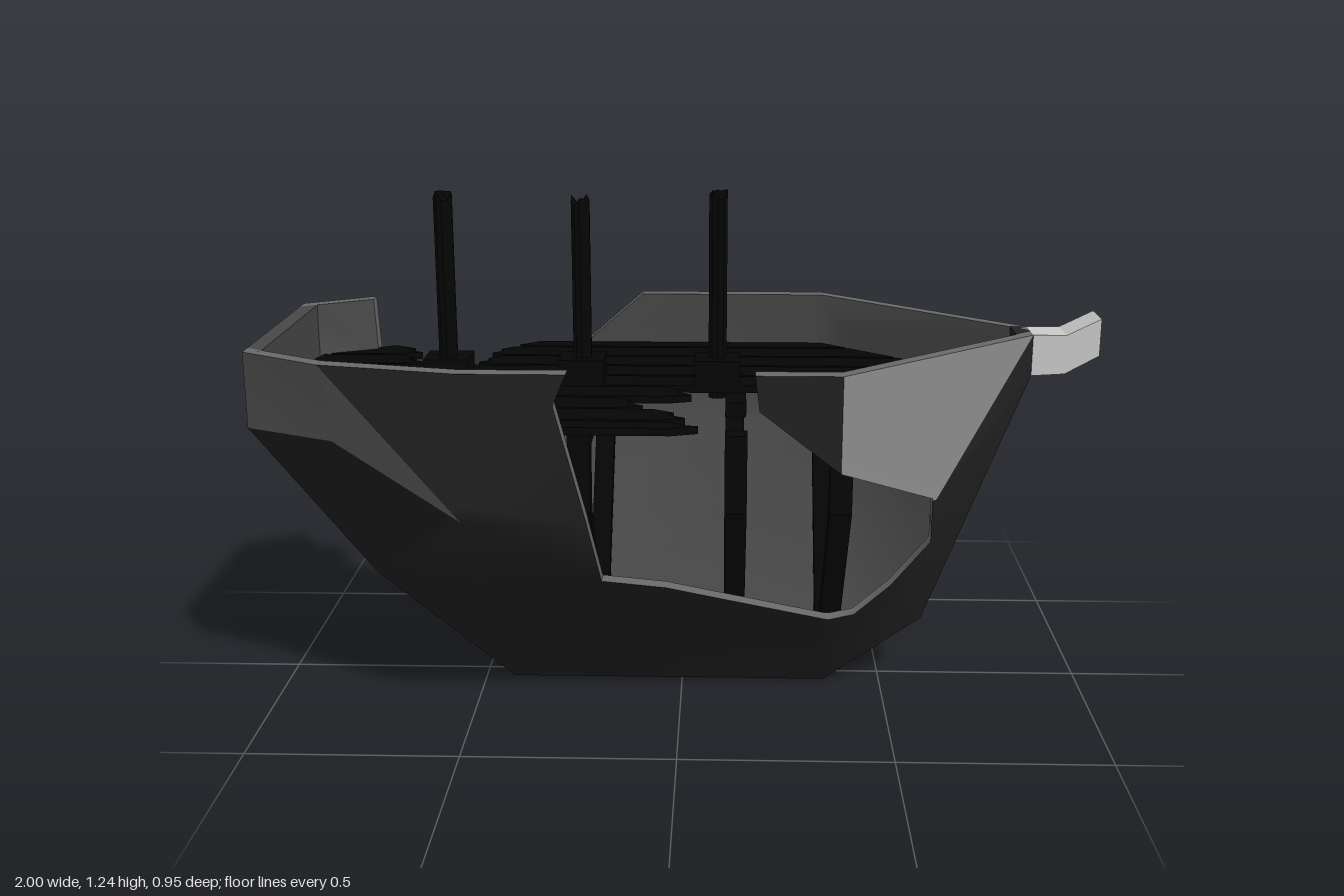
import * as THREE from 'three';
import { toCreasedNormals } from 'three/addons/utils/BufferGeometryUtils.js';
import { ConvexGeometry } from 'three/addons/geometries/ConvexGeometry.js';

const skin = (color) => new THREE.MeshStandardMaterial({ color, side: THREE.DoubleSide });
const flat = (color) => new THREE.MeshStandardMaterial({ color, flatShading: true });
const hullMat = skin(0x222222), sternMat = skin(0x4c4c4c), bowMat = skin(0x8c8c8c), innerMat = skin(0x484848), edgeMat = skin(0x6a6a6a);
const darkMat = flat(0x050505), greyMat = flat(0xcccccc);
const V = (x, y, z) => new THREE.Vector3(x, y, z);
const WALL = 0.042, DECK = 0.76;

// Hull corners: t = rail, c = chine, k = keel, s = stem head
const P = {
  t0: V(-1, 0.9, 0.28), t1: V(-0.8, 0.9, 0.4), t2: V(-0.48, 0.9, 0.475), t3: V(0.36, 0.9, 0.475), t5: V(0.84, 0.9, 0.05),
  c0: V(-1, 0.72, 0.28), c1: V(-0.78, 0.72, 0.385), c2: V(-0.48, 0.56, 0.475), c3: V(0.36, 0.55, 0.475), c4: V(0.6, 0.55, 0.25),
  k1: V(-0.77, 0.28, 0.05), k2: V(-0.43, 0, 0.05), k3: V(0.36, 0, 0.05), k4: V(0.6, 0.17, 0.05), s5: V(0.84, 0.8, 0.05),
};
const FACETS = ('t0c0c1 t0c1t1 t1c1c2 t1c2t2 t2c2c3 t2c3t3 t3c3c4 t3c4t5 t5c4s5 ' +
  'c0k1c1 c1k1c2 k1k2c2 c2k2c3 k2k3c3 k3k4c3 c3k4c4 c4k4s5').split(' ');
// Weathering: the lighter facets on each side
const FRONT_TONES = { t3c3c4: bowMat, t3c4t5: bowMat, t0c0c1: sternMat, t0c1t1: sternMat, t1c1c2: sternMat };
const BACK_TONES = { t3c3c4: sternMat, t3c4t5: sternMat };

// Side outlines seen in x,y, with the broken openings cut in from the rail
const SILHOUETTE = [[-1, 0.9], [-1, 0.72], [-0.77, 0.28], [-0.43, 0], [0.36, 0], [0.6, 0.17], [0.84, 0.8], [0.84, 0.9]];
const HOLE_FRONT = [[0.17, 0.9], [0.18, 0.82], [0.36, 0.68], [0.59, 0.555], [0.6, 0.42], [0.42, 0.24], [0.35, 0.24],
  [-0.03, 0.35], [-0.18, 0.37], [-0.2, 0.56], [-0.27, 0.83], [-0.24, 0.9]];
const HOLE_BACK = [[-0.12, 0.9], [-0.47, 0.6], [-0.58, 0.41], [-0.46, 0.3], [-0.5, 0.17], [-0.68, 0.3],
  [-0.71, 0.45], [-0.7, 0.56], [-0.81, 0.64], [-0.83, 0.9]];

// Part of a convex polygon lying over one triangular facet
function clip(poly, tri) {
  for (let i = 0; i < 3; i++) {
    const a = tri[i], b = tri[(i + 1) % 3], out = [];
    const d = (p) => (b.x - a.x) * (p.y - a.y) - (b.y - a.y) * (p.x - a.x);
    poly.forEach((p, j) => {
      const q = poly[(j + 1) % poly.length], dp = d(p), dq = d(q);
      if (dp >= -1e-9) out.push(p);
      if ((dp > 1e-9 && dq < -1e-9) || (dp < -1e-9 && dq > 1e-9)) out.push(p.clone().lerp(q, dp / (dp - dq)));
    });
    poly = out;
  }
  return poly;
}

// One planked side: outer skin by tone, inner skin and the edges between them
function hullSide(outline, sign, tones) {
  const parts = new Map(), edges = new Map();
  const face = (mat, a, b, c) => {
    if (!parts.has(mat)) parts.set(mat, []);
    (sign > 0 ? [a, b, c] : [a, c, b]).forEach((p) => parts.get(mat).push(p.x, p.y, p.z * sign));
  };
  const inner = (p) => V(p.x, p.y, p.z - WALL);
  const key = (p) => Math.round(p.x * 1e4) + ',' + Math.round(p.y * 1e4);
  const flatPts = outline.map(([x, y]) => new THREE.Vector2(x, y));
  const pieces = THREE.ShapeUtils.triangulateShape(flatPts, []).map((t) => t.map((i) => flatPts[i]));
  for (const name of FACETS) {
    const tri = name.match(/../g).map((n) => P[n]);
    const plane = new THREE.Plane().setFromCoplanarPoints(...tri);
    for (const piece of pieces) {
      const poly = clip(piece, tri);
      if (poly.length < 3 || Math.abs(THREE.ShapeUtils.area(poly)) < 1e-7) continue;
      const pts = poly.map((p) => V(p.x, p.y, -(plane.constant + plane.normal.x * p.x + plane.normal.y * p.y) / plane.normal.z));
      for (let i = 1; i < pts.length - 1; i++) {
        face(tones[name] || hullMat, pts[0], pts[i], pts[i + 1]);
        face(innerMat, inner(pts[0]), inner(pts[i + 1]), inner(pts[i]));
      }
      pts.forEach((p, i) => {
        const q = pts[(i + 1) % pts.length], back = key(q) + '|' + key(p);
        if (edges.has(back)) edges.delete(back);
        else edges.set(key(p) + '|' + key(q), [p, q]);
      });
    }
  }
  // The keel band covers the edges along the centreline
  for (const [p, q] of edges.values()) {
    if (p.z < 0.051 && q.z < 0.051) continue;
    face(edgeMat, p, inner(p), q);
    face(edgeMat, q, inner(p), inner(q));
  }
  const side = new THREE.Group();
  for (const [mat, pos] of parts) {
    const geo = new THREE.BufferGeometry();
    geo.setAttribute('position', new THREE.Float32BufferAttribute(pos, 3));
    const mesh = new THREE.Mesh(toCreasedNormals(geo, 0.9), mat);
    mesh.name = mat === innerMat ? 'innerSkin' : mat === edgeMat ? 'skinEdge' : 'outerSkin';
    side.add(mesh);
  }
  return side;
}

const shapeOf = (pts) => new THREE.Shape(pts.map(([x, y]) => new THREE.Vector2(x, y)));
const extrude = (pts, depth) => new THREE.ExtrudeGeometry(shapeOf(pts), { depth, bevelEnabled: false });

export function createModel() {
  const group = new THREE.Group();
  const add = (name, geo, mat, x = 0, y = 0, z = 0) => {
    const m = new THREE.Mesh(geo, mat);
    m.name = name;
    m.position.set(x, y, z);
    group.add(m);
  };

  // Hull sides
  const front = hullSide([...SILHOUETTE, ...HOLE_FRONT], 1, FRONT_TONES);
  front.name = 'hullSideFront';
  const back = hullSide([...SILHOUETTE, ...HOLE_BACK], -1, BACK_TONES);
  back.name = 'hullSideBack';
  group.add(front, back);

  // Keel, stem and sternpost in one band
  add('keel', extrude([[-0.77, 0.28], [-0.43, 0], [0.36, 0], [0.6, 0.17], [0.84, 0.8], [0.84, 0.9],
    [0.8, 0.9], [0.8, 0.8], [0.57, 0.2], [0.35, 0.04], [-0.42, 0.04], [-0.74, 0.31]], 0.1), hullMat, 0, 0, -0.05);
  // Bowsprit
  add('bowsprit', extrude([[0.84, 0.8], [0.92, 0.805], [1, 0.85], [1, 0.94], [0.92, 0.9], [0.84, 0.9]], 0.1), greyMat, 0, 0, -0.05);

  // Stern: upright panel above, tapering panel below
  const slab = (rows) => new ConvexGeometry(rows.flatMap(([x, y, z]) =>
    [V(x, y, z), V(x, y, -z), V(x + 0.04, y, z), V(x + 0.04, y, -z)]));
  add('sternUpper', slab([[-1, 0.9, 0.28], [-1, 0.72, 0.28]]), innerMat);
  add('sternLower', slab([[-1, 0.72, 0.28], [-0.77, 0.28, 0.05]]), hullMat);

  // Deck planks by row; a gap runs from its first x to its second, null where no plank is left
  const W = 0.105;
  const board = (name, pts, y) => add(name, extrude(pts.map(([x, z]) => [x, -z]), 0.018).rotateX(-Math.PI / 2), darkMat, 0, y, 0);
  const sternX = (z) => (z < 0.25 ? -0.96 : z < 0.37 ? -0.96 + (z - 0.25) * 1.5 : -0.78 + (z - 0.37) * 4);
  const bowX = (z) => 0.8 - Math.max(0, z - 0.04) * 1.13;
  const gaps = { '-4': [null, -0.42], '-3': [-0.74, -0.48], '-2': [-0.72, -0.5], 1: [-0.02, 0.34], 2: [-0.13, 0.34], 3: [-0.03, 0.34], 4: [0, null] };
  for (let i = -4; i <= 4; i++) {
    const za = Math.max(-0.43, (i - 0.5) * W + 0.005), zb = Math.min(0.43, (i + 0.5) * W - 0.005), zm = (za + zb) / 2;
    const ends = (f) => [za, zm, zb].map((z) => [f(Math.abs(z)), z]);
    const broken = (x, d) => [[x - d, za], [x + d * 0.6, za + 0.03], [x + d * 0.1, zm], [x + d * 1.5, zb - 0.02], [x - d * 0.5, zb]];
    const plank = (start, end) => board('deckPlank', [...start, ...end.reverse()], DECK - 0.009);
    if (!gaps[i]) {
      plank(ends(sternX), ends(bowX));
      continue;
    }
    const [from, to] = gaps[i];
    if (from !== null) plank(ends(sternX), broken(from, 0.03));
    if (to !== null) plank(i > 0 ? ends(() => to) : broken(to, -0.02), ends(bowX));
  }
  // Wide board carrying the foredeck at the edge of the opening
  board('foredeckBoard', [[0.34, 0.04], [0.34, 0.42], [0.385, 0.41], [0.48, 0.325], [0.48, 0.04]], DECK - 0.028);

  // Frames: deck beam from z0 to z1, with ribs following the hull down to the keel
  const frames = [[-0.48, -0.15, 0.42, 0.13, [1]], [-0.22, -0.42, 0.42, 0.04, [1, -1]],
    [0.13, -0.42, 0.14, 0.04, [1, -1]], [0.365, -0.42, 0.42, 0.04, [1, -1]]];
  for (const [x, z0, z1, foot, sides] of frames) {
    add('deckBeam', new THREE.BoxGeometry(0.05, 0.035, z1 - z0), darkMat, x, DECK - 0.027, (z0 + z1) / 2);
    const path = [[0.425, 0.75], [0.425, 0.57], [0.03, foot], [0.03, foot + 0.06], [0.375, 0.56], [0.375, 0.75]];
    for (const s of sides) {
      const rib = extrude(path.map(([z, y]) => [-z * s, y]), 0.05);
      add('rib', rib.rotateY(Math.PI / 2), darkMat, x - 0.025, 0, 0);
    }
  }

  // Broken masts with square collars on the deck
  for (const [x, top] of [[-0.575, 1.22], [-0.245, 1.21], [0.085, 1.225]]) {
    const h = top - DECK + 0.03;
    const geo = new THREE.CylinderGeometry(0.023, 0.023, h, 10);
    const p = geo.attributes.position;
    for (let i = 0; i < p.count; i++) {
      if (p.getY(i) > 0) p.setY(i, h / 2 + 0.014 * Math.sin(3 * Math.atan2(p.getZ(i), p.getX(i)) + x * 9));
    }
    add('mast', geo, darkMat, x, top - h / 2, 0);
    add('mastCollar', new THREE.BoxGeometry(0.11, 0.065, 0.1), darkMat, x, DECK + 0.037, 0);
  }
  return group;
}
